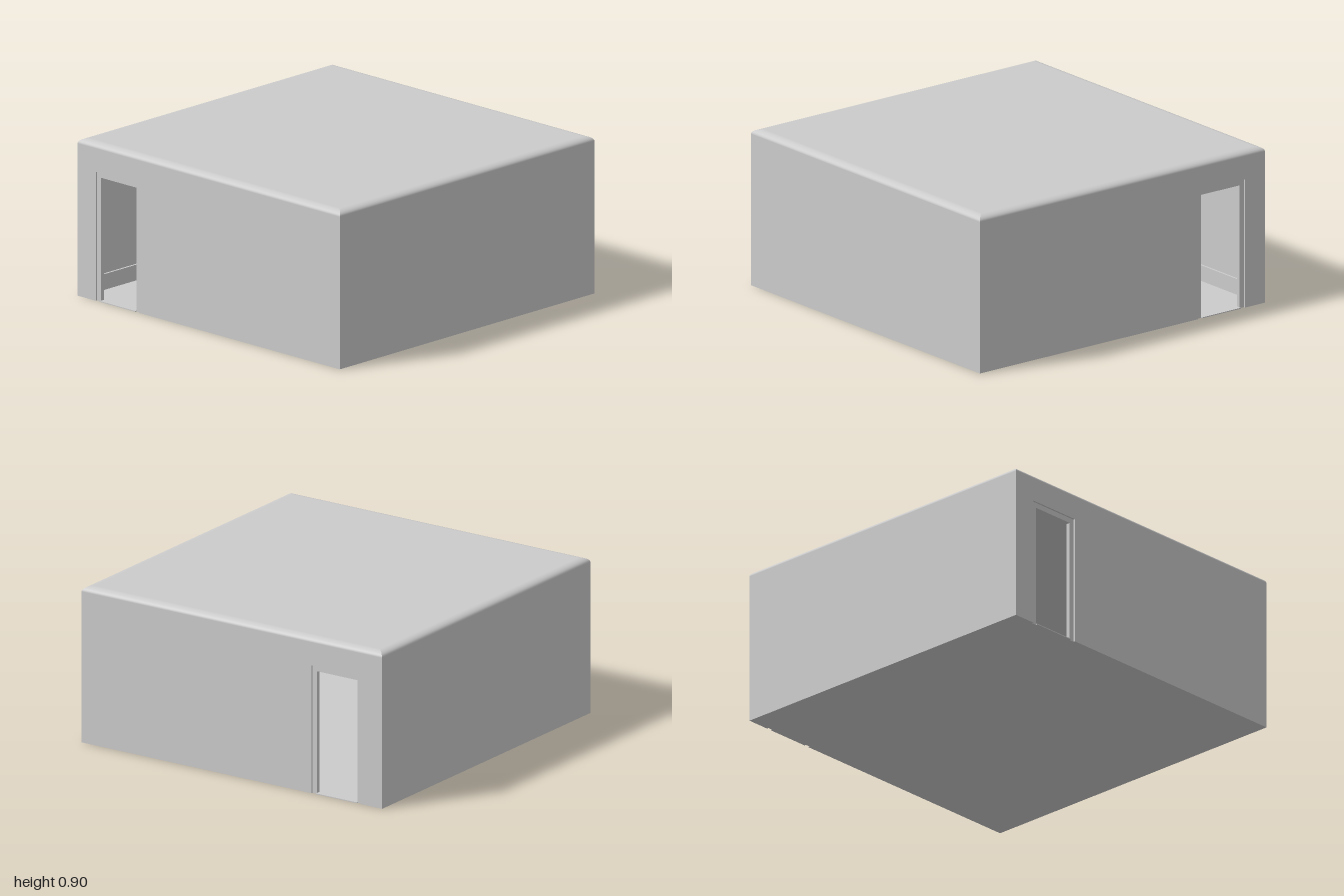
import * as THREE from 'three';

const WALL = 0.03;             // wall thickness
const EAVE = 0.87, TOP = 0.9;  // start and end of the rounded roof edge
const ROLL = 0.05;             // width of the rounded roof edge
const FLOOR = 0.005;
const DOOR = { near: 0.53, far: 0.86, top: 0.737, trim: 0.03 };

const material = new THREE.MeshStandardMaterial({ color: 0xcccccc });

function add(parent, name, geometry, x = 0, y = 0, z = 0) {
  const mesh = new THREE.Mesh(geometry, material);
  mesh.name = name;
  mesh.position.set(x, y, z);
  parent.add(mesh);
  return mesh;
}

const polygon = (points) => new THREE.Shape(points.map(([x, y]) => new THREE.Vector2(x, y)));

// Wall panel with mitred ends; door is 0 (none) or the side the doorway is on
function wallGeometry(door) {
  const points = [[-1, 0]];
  if (door) {
    const [a, b] = [door * DOOR.near, door * DOOR.far].sort((p, q) => p - q);
    points.push([a, 0], [a, DOOR.top], [b, DOOR.top], [b, 0]);
  }
  points.push([1, 0], [1, EAVE], [-1, EAVE]);
  const geometry = new THREE.ExtrudeGeometry(polygon(points), { depth: WALL, bevelEnabled: false });
  const p = geometry.attributes.position;
  for (let i = 0; i < p.count; i++) {
    if (p.getZ(i) < WALL / 2 && Math.abs(p.getX(i)) > 0.99) p.setX(i, p.getX(i) * (1 - WALL));
  }
  return geometry;
}

// U-shaped door casing, open at the floor
function frameGeometry() {
  const w = (DOOR.far - DOOR.near) / 2, t = DOOR.trim, h = DOOR.top;
  const shape = polygon([[-w, 0], [-w + t, 0], [-w + t, h - t], [w - t, h - t],
    [w - t, 0], [w, 0], [w, h], [-w, h]]);
  return new THREE.ExtrudeGeometry(shape, { depth: 0.025, bevelEnabled: false });
}

// Quarter-ellipse roof edge for one side, mitred at both corners
function roofEdgeGeometry() {
  const steps = 10, height = TOP - EAVE;
  const position = [], normal = [], index = [];
  for (let i = 0; i <= steps; i++) {
    const a = (i / steps) * Math.PI / 2;
    const r = 1 - ROLL * (1 - Math.cos(a));
    const n = new THREE.Vector3(0, Math.sin(a) / height, Math.cos(a) / ROLL).normalize();
    for (const side of [-1, 1]) {
      position.push(side * r, EAVE + height * Math.sin(a), r);
      normal.push(n.x, n.y, n.z);
    }
    if (i < steps) {
      const k = i * 2;
      index.push(k, k + 1, k + 3, k, k + 3, k + 2);
    }
  }
  const geometry = new THREE.BufferGeometry();
  geometry.setAttribute('position', new THREE.Float32BufferAttribute(position, 3));
  geometry.setAttribute('normal', new THREE.Float32BufferAttribute(normal, 3));
  geometry.setIndex(index);
  return geometry;
}

// Skirting board along the inside of a wall, from a to b
function skirting(parent, a, b) {
  add(parent, 'skirtingBoard', new THREE.BoxGeometry(b - a, 0.09, 0.012),
    (a + b) / 2, FLOOR + 0.045, 1 - WALL - 0.006);
}

export function createModel() {
  const room = new THREE.Group();
  room.name = 'room';

  const sides = [
    { name: 'frontSide', turn: 0, door: 0 },
    { name: 'leftSide', turn: Math.PI / 2, door: 1 },
    { name: 'backSide', turn: Math.PI, door: 0 },
    { name: 'rightSide', turn: -Math.PI / 2, door: -1 },
  ];

  for (const { name, turn, door } of sides) {
    const side = new THREE.Group();
    side.name = name;
    side.rotation.y = turn;
    room.add(side);

    add(side, 'wall', wallGeometry(door), 0, 0, 1 - WALL);
    add(side, 'roofEdge', roofEdgeGeometry());

    const end = 1 - WALL;
    if (door) {
      // Casing set slightly back from the outer wall face
      add(side, 'doorFrame', frameGeometry(), door * (DOOR.near + DOOR.far) / 2, 0, 0.965);
      const [a, b] = [door * DOOR.near, door * DOOR.far].sort((p, q) => p - q);
      skirting(side, -end, a);
      skirting(side, b, end);
    } else {
      skirting(side, -end, end);
    }
  }

  // Flat roof surface, ceiling and floor
  const roof = new THREE.PlaneGeometry(2 * (1 - ROLL), 2 * (1 - ROLL)).rotateX(-Math.PI / 2);
  add(room, 'roofTop', roof, 0, TOP, 0);
  const inner = 2 * (1 - WALL);
  add(room, 'ceiling', new THREE.PlaneGeometry(inner, inner).rotateX(Math.PI / 2), 0, EAVE, 0);
  add(room, 'floor', new THREE.BoxGeometry(inner, FLOOR, inner), 0, FLOOR / 2, 0);
  // Thresholds in the two doorways
  const gap = DOOR.far - DOOR.near - 2 * DOOR.trim;
  for (const s of [-1, 1]) {
    add(room, 'threshold', new THREE.BoxGeometry(WALL, FLOOR, gap),
      s * (1 - WALL / 2), FLOOR / 2, -(DOOR.near + DOOR.far) / 2);
  }
  return room;
}
